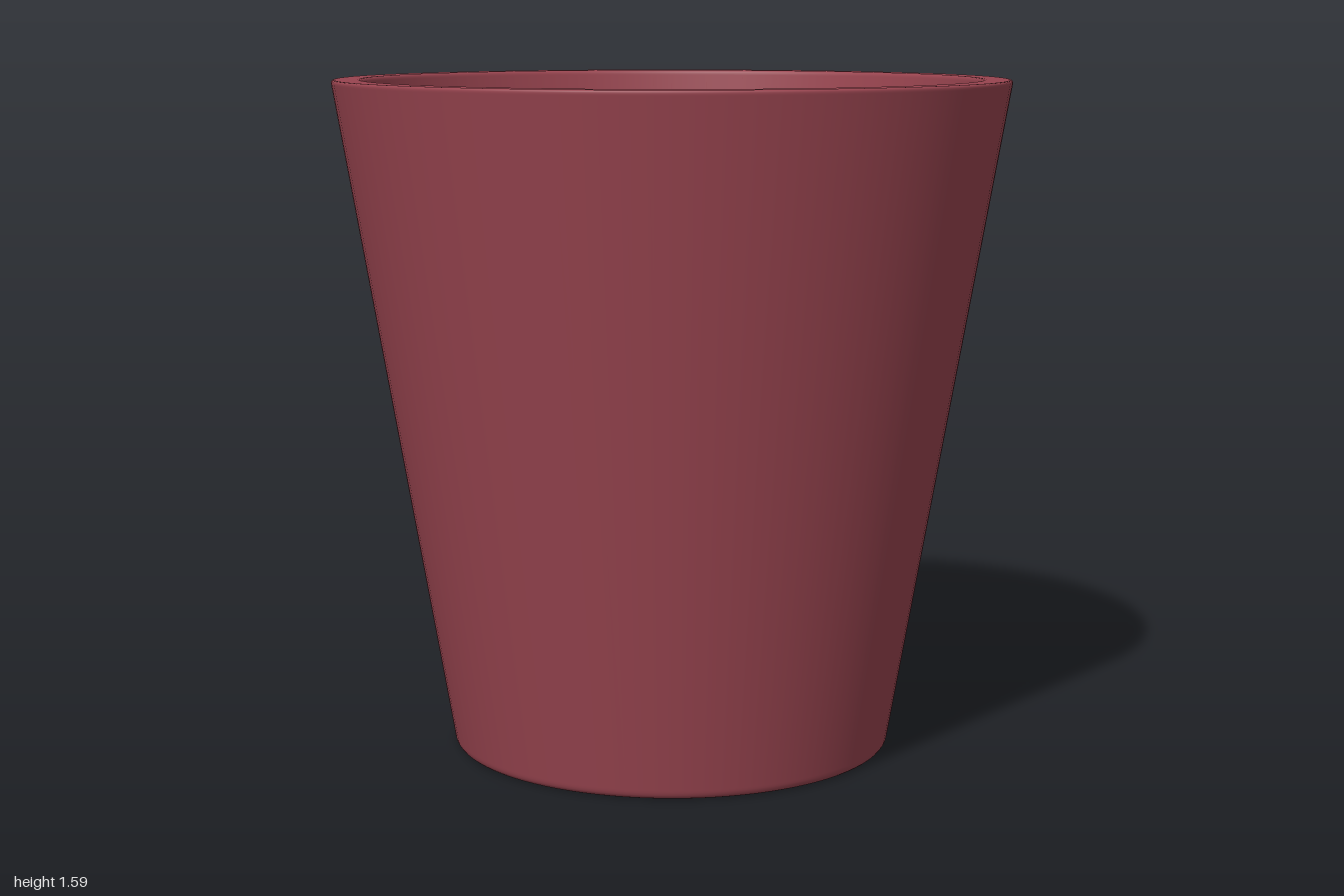
import * as THREE from 'three';

const CUP_Z = 0.205;

// Rounds each inner corner of a profile, with guard points that keep the flats flat
function roundedProfile(corners, radii) {
  const out = [];
  corners.forEach((p, i) => {
    const r = radii[i];
    if (!r) { out.push(p.clone()); return; }
    const toPrev = corners[i - 1].clone().sub(p).normalize();
    const toNext = corners[i + 1].clone().sub(p).normalize();
    const a = p.clone().addScaledVector(toPrev, r);
    const b = p.clone().addScaledVector(toNext, r);
    out.push(p.clone().addScaledVector(toPrev, r * 1.3));
    out.push(...new THREE.QuadraticBezierCurve(a, p, b).getPoints(5));
    out.push(p.clone().addScaledVector(toNext, r * 1.3));
  });
  return out;
}

// Tapered cup: underside, outer wall, rim, inner wall, floor
function createCup(material) {
  const corners = [[0, 0], [0.522, 0], [0.795, 1.59], [0.723, 1.59], [0.465, 0.07], [0, 0.07]]
    .map(([x, y]) => new THREE.Vector2(x, y));
  const profile = roundedProfile(corners, [0, 0.018, 0.009, 0.009, 0.006, 0]);
  const cup = new THREE.Mesh(new THREE.LatheGeometry(profile, 96), material);
  cup.name = 'cup';
  return cup;
}

// Flattened loop handle, flaring slightly where it meets the wall
function createHandle(material) {
  const curve = new THREE.CatmullRomCurve3([
    [0.71, 1.25], [0.755, 1.255], [0.85, 1.235], [1.0, 1.135], [1.13, 0.96], [1.185, 0.79],
    [1.155, 0.62], [1.065, 0.495], [0.86, 0.375], [0.65, 0.338], [0.56, 0.343],
  ].map(([x, y]) => new THREE.Vector3(x, y, 0)));
  const segments = 96, sides = 24;
  const geometry = new THREE.TubeGeometry(curve, segments, 0.08, sides);
  const pos = geometry.attributes.position;
  const v = new THREE.Vector3();
  for (let i = 0; i <= segments; i++) {
    const centre = curve.getPointAt(i / segments);
    const fromEnd = Math.min(i, segments - i) / segments;
    const flare = 1 + 0.2 * Math.max(0, 1 - fromEnd / 0.045) ** 2;
    for (let j = 0; j <= sides; j++) {
      const k = i * (sides + 1) + j;
      v.fromBufferAttribute(pos, k).sub(centre).multiplyScalar(flare).add(centre);
      pos.setXYZ(k, v.x, v.y, v.z);
    }
  }
  geometry.scale(1, 1, 0.52);
  const handle = new THREE.Mesh(geometry, material);
  handle.name = 'handle';
  handle.rotation.y = Math.PI / 2 - 0.325;
  return handle;
}

export function createModel() {
  const glaze = new THREE.MeshStandardMaterial({ color: 0x98444f });
  glaze.name = 'dark red glaze';

  const mug = new THREE.Group();
  mug.name = 'mug';
  mug.add(createCup(glaze), createHandle(glaze));
  mug.position.z = CUP_Z;

  const model = new THREE.Group();
  model.name = 'model';
  model.add(mug);
  return model;
}
